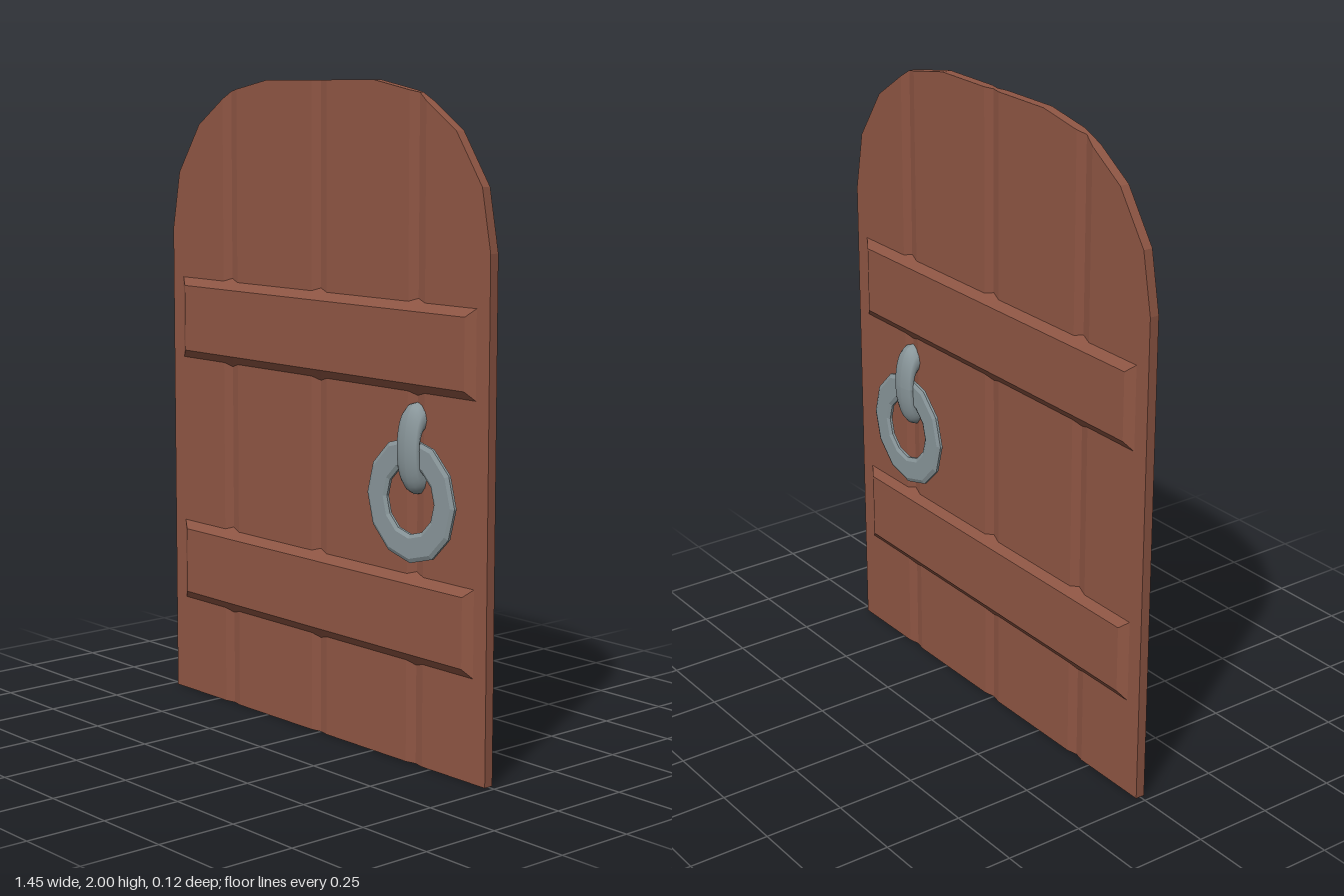
import * as THREE from 'three';

const GROOVES = [-0.43, 0, 0.43];
const GROOVE_HALF = 0.035, GROOVE_DEPTH = 0.008, HALF = 0.015;

// Joins closed cross-sections (arrays of [x, y, z]) into a flat-shaded solid with capped ends
function loft(sections) {
  const pos = [];
  const tri = (a, b, c) => pos.push(...a, ...b, ...c);
  const n = sections[0].length;
  for (let i = 0; i < sections.length - 1; i++) {
    const p = sections[i], q = sections[i + 1];
    for (let j = 0; j < n; j++) {
      const k = (j + 1) % n;
      tri(p[j], q[j], q[k]);
      tri(p[j], q[k], p[k]);
    }
  }
  const first = sections[0], last = sections[sections.length - 1];
  for (let j = 1; j < n - 1; j++) {
    tri(first[0], first[j], first[j + 1]);
    tri(last[0], last[j + 1], last[j]);
  }
  const geo = new THREE.BufferGeometry();
  geo.setAttribute('position', new THREE.Float32BufferAttribute(pos, 3));
  geo.computeVertexNormals();
  return geo;
}

// Depth of the plank groove at x
function grooveAt(x) {
  const d = Math.min(...GROOVES.map((g) => Math.abs(x - g)));
  return GROOVE_DEPTH * Math.max(0, 1 - d / GROOVE_HALF);
}

// Height of the faceted arch at x
const ARCH = [[0, 2], [0.245, 2], [0.43, 1.965], [0.587, 1.86], [0.692, 1.707], [0.727, 1.525]];
function archAt(x) {
  const a = Math.abs(x);
  for (let i = 1; i < ARCH.length; i++) {
    const [x0, y0] = ARCH[i - 1], [x1, y1] = ARCH[i];
    if (a <= x1) return y0 + ((y1 - y0) * (a - x0)) / (x1 - x0);
  }
  return ARCH[ARCH.length - 1][1];
}

const grooveColumns = GROOVES.flatMap((g) => [g - GROOVE_HALF, g, g + GROOVE_HALF]);
const columns = (extra) =>
  [...grooveColumns, ...extra.flatMap((x) => [-x, x])].sort((a, b) => a - b);

function panelGeometry() {
  return loft(columns([0.245, 0.587, 0.692, 0.727]).map((x) => {
    const h = HALF - grooveAt(x), top = archAt(x);
    return [[x, 0, -h], [x, 0, h], [x, top, h], [x, top, -h]];
  }));
}

// Bevelled cross bar standing proud on both faces, reaching down into the grooves
function barGeometry(bottom, top) {
  const face = 0.033, bevel = 0.025;
  return loft(columns([0.645, 0.675]).map((x) => {
    const end = Math.abs(x) > 0.66;
    const g = grooveAt(x), z = HALF - g, ext = g * 1.3;
    const f = end ? z : face, inset = end ? 0 : bevel;
    const b = bottom - ext, t = top + ext;
    return [
      [x, b, -z], [x, b, z], [x, bottom + inset, f], [x, top - inset, f],
      [x, t, z], [x, t, -z], [x, top - inset, -f], [x, bottom + inset, -f],
    ];
  }));
}

// Flat twelve-sided ring with bevelled rims
function ringGeometry() {
  const profile = [
    [0.112, -0.01], [0.172, -0.01], [0.185, -0.004], [0.185, 0.004],
    [0.172, 0.01], [0.112, 0.01], [0.1, 0.004], [0.1, -0.004], [0.112, -0.01],
  ].map(([r, y]) => new THREE.Vector2(r, y));
  const geo = new THREE.LatheGeometry(profile, 12).rotateX(Math.PI / 2).toNonIndexed();
  geo.computeVertexNormals();
  return geo;
}

// Squashed staple running through the door, boxier than a plain ellipse
function stapleGeometry() {
  const geo = new THREE.TorusGeometry(0.09, 0.046, 12, 32).rotateY(Math.PI / 2);
  const p = geo.attributes.position;
  for (let i = 0; i < p.count; i++) {
    const z = p.getZ(i);
    p.setZ(i, Math.sign(z) * 0.06 * Math.pow(Math.abs(z) / 0.136, 0.7));
  }
  geo.computeVertexNormals();
  return geo;
}

export function createModel() {
  const wood = new THREE.MeshStandardMaterial({ color: 0x8f5644 });
  wood.name = 'wood';
  const metal = new THREE.MeshStandardMaterial({ color: 0x89969a });
  metal.name = 'metal';

  const door = new THREE.Group();
  door.name = 'door';
  const add = (name, geo, mat, x = 0, y = 0, z = 0) => {
    const mesh = new THREE.Mesh(geo, mat);
    mesh.name = name;
    mesh.position.set(x, y, z);
    door.add(mesh);
  };

  // Planks and cross bars
  add('plankPanel', panelGeometry(), wood);
  add('lowerCrossBar', barGeometry(0.31, 0.57), wood);
  add('upperCrossBar', barGeometry(1.11, 1.37), wood);

  // Handles on both faces
  add('handleStaple', stapleGeometry(), metal, 0.43, 0.945, 0);
  add('frontRing', ringGeometry(), metal, 0.43, 0.795, 0.032);
  add('backRing', ringGeometry(), metal, 0.43, 0.795, -0.032);
  return door;
}
